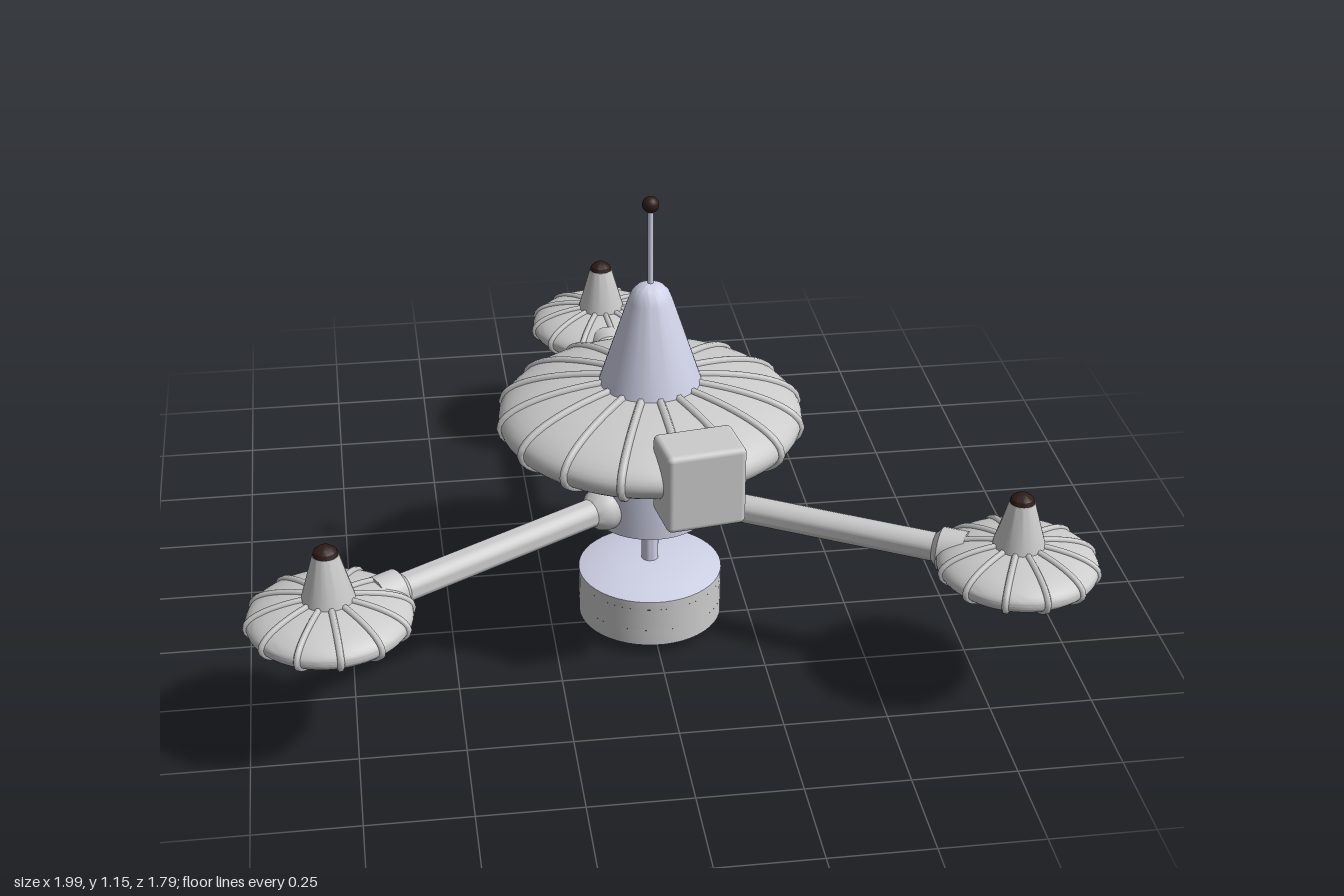
import * as THREE from 'three';
import { toCreasedNormals } from 'three/addons/utils/BufferGeometryUtils.js';
import { RoundedBoxGeometry } from 'three/addons/geometries/RoundedBoxGeometry.js';

const grey = new THREE.MeshStandardMaterial({ color: 0xcccccc });
const pale = new THREE.MeshStandardMaterial({ color: 0xcfd1e6 });
const dark = new THREE.MeshStandardMaterial({ color: 0x2e1c18 });

function add(parent, name, geometry, material, x = 0, y = 0, z = 0) {
  const mesh = new THREE.Mesh(geometry, material);
  mesh.name = name;
  mesh.position.set(x, y, z);
  parent.add(mesh);
  return mesh;
}

// Turned part; the profile runs from bottom to top as [radius, y]
function lathe(profile, segments = 48) {
  const points = profile.map(([r, y]) => new THREE.Vector2(r, y));
  return toCreasedNormals(new THREE.LatheGeometry(points, segments), 0.55);
}

// Flattened dish with raised ribs running from the top round to the underside
function ribbedSaucer(radius, halfHeight, ribCount, ribRadius, phase) {
  const saucer = new THREE.Group();
  saucer.name = 'saucer';
  const at = (a) => [radius * Math.max(0, Math.cos(a)), halfHeight * Math.sin(a)];
  const profile = [];
  for (let i = 0; i <= 28; i++) profile.push(at(-Math.PI / 2 + (Math.PI * i) / 28));
  add(saucer, 'saucerShell', lathe(profile, 64), grey);

  const path = [];
  for (let i = 0; i <= 16; i++) {
    const [x, y] = at(-1.3 + (2.6 * i) / 16);
    path.push(new THREE.Vector3(x, y, 0));
  }
  const rib = new THREE.TubeGeometry(new THREE.CatmullRomCurve3(path), 32, ribRadius, 6);
  for (let i = 0; i < ribCount; i++) {
    add(saucer, 'rib', rib, grey).rotation.y = phase + (i / ribCount) * Math.PI * 2;
  }
  return saucer;
}

// Small satellite pod: ribbed dish, cone and dark tip
function pod() {
  const group = new THREE.Group();
  group.name = 'pod';
  group.add(ribbedSaucer(0.19, 0.058, 12, 0.008, 0.1));
  add(group, 'podCone', lathe([[0.065, 0.03], [0.06, 0.062], [0.03, 0.168], [0, 0.168]], 32), grey);
  add(group, 'podTip', lathe([[0.03, 0.166], [0.026, 0.178], [0.015, 0.187], [0, 0.19]], 24), dark);
  return group;
}

// Arm pointing along +x with flared ends and a pod
function arm() {
  const group = new THREE.Group();
  group.name = 'arm';
  const reach = 0.925;
  const tube = lathe([
    [0.055, 0.11], [0.055, 0.15], [0.048, 0.17], [0.035, 0.185],
    [0.035, 0.725], [0.052, 0.74], [0.052, 0.8], [0, 0.8],
  ], 24);
  add(group, 'armTube', tube, grey).rotation.z = -Math.PI / 2;
  const end = pod();
  end.position.x = reach;
  group.add(end);
  return group;
}

// Hanging drum with a recessed window facing +x
function drum() {
  const group = new THREE.Group();
  group.name = 'drum';
  const R = 0.178, low = 0.07, high = 0.13, half = 0.04;
  const gap = 2 * Math.asin(half / R);
  add(group, 'drumBase', lathe([[0, 0], [0.12, 0], [R, 0.028], [R, low]]), grey);
  add(group, 'drumRim', lathe([[R, high], [R, 0.152]]), grey);
  add(group, 'drumLid', lathe([[R, 0.152], [0.14, 0.163], [0.08, 0.172], [0, 0.175]]), pale);
  const band = new THREE.CylinderGeometry(R, R, high - low, 48, 1, true,
    Math.PI / 2 + gap / 2, Math.PI * 2 - gap);
  add(group, 'drumWall', band, grey, 0, (low + high) / 2);

  // Window reveal and its back panel
  const outline = (w, h) => [[-w, -h], [w, -h], [w, h], [-w, h]].map(([x, y]) => new THREE.Vector2(x, y));
  const frame = new THREE.Shape(outline(half + 0.005, 0.035));
  frame.holes.push(new THREE.Path(outline(half - 0.001, 0.029)));
  const reveal = new THREE.ExtrudeGeometry(frame, { depth: 0.04, bevelEnabled: false });
  add(group, 'windowReveal', reveal, grey, 0.131, 0.1).rotation.y = Math.PI / 2;
  add(group, 'windowPanel', new THREE.BoxGeometry(0.01, 0.068, 0.088), grey, 0.132, 0.1);
  group.rotation.y = 0.2;
  return group;
}

export function createModel() {
  const model = new THREE.Group();
  model.name = 'station';
  const core = new THREE.Group();
  core.name = 'core';
  core.position.z = 0.24;
  model.add(core);

  // Main dish and the cone on top
  const mainDish = ribbedSaucer(0.368, 0.102, 16, 0.01, 0.07);
  mainDish.position.y = 0.58;
  core.add(mainDish);
  const cone = [[0.13, 0.64], [0.122, 0.68], [0.053, 0.89], [0.045, 0.91], [0.032, 0.924], [0.016, 0.932], [0, 0.934]];
  add(core, 'mainCone', lathe(cone), pale);

  // Antenna
  add(core, 'antennaRod', new THREE.CylinderGeometry(0.007, 0.007, 0.22, 12), pale, 0, 1.02);
  add(core, 'antennaBall', new THREE.SphereGeometry(0.02, 20, 14), dark, 0, 1.134);

  // Bay box on the dish rim
  const bay = add(core, 'bayBox', new RoundedBoxGeometry(0.19, 0.2, 0.13, 3, 0.014), grey, 0.07, 0.58, 0.325);
  bay.rotation.y = 0.15;

  // Hub, neck and the stem that carries the drum
  add(core, 'neck', lathe([[0.062, 0.43], [0.062, 0.5]], 32), grey);
  add(core, 'hub', lathe([[0, 0.31], [0.143, 0.31], [0.143, 0.44], [0, 0.44]]), pale);
  add(core, 'stem', lathe([[0.021, 0.165], [0.021, 0.25], [0.05, 0.28], [0.05, 0.315]], 32), pale);
  core.add(drum());

  // Three arms spaced evenly round the hub, one straight back
  for (let i = 0; i < 3; i++) {
    const a = arm();
    a.position.y = 0.368;
    a.rotation.y = Math.PI / 2 + 0.01 + (i * Math.PI * 2) / 3;
    core.add(a);
  }
  return model;
}
